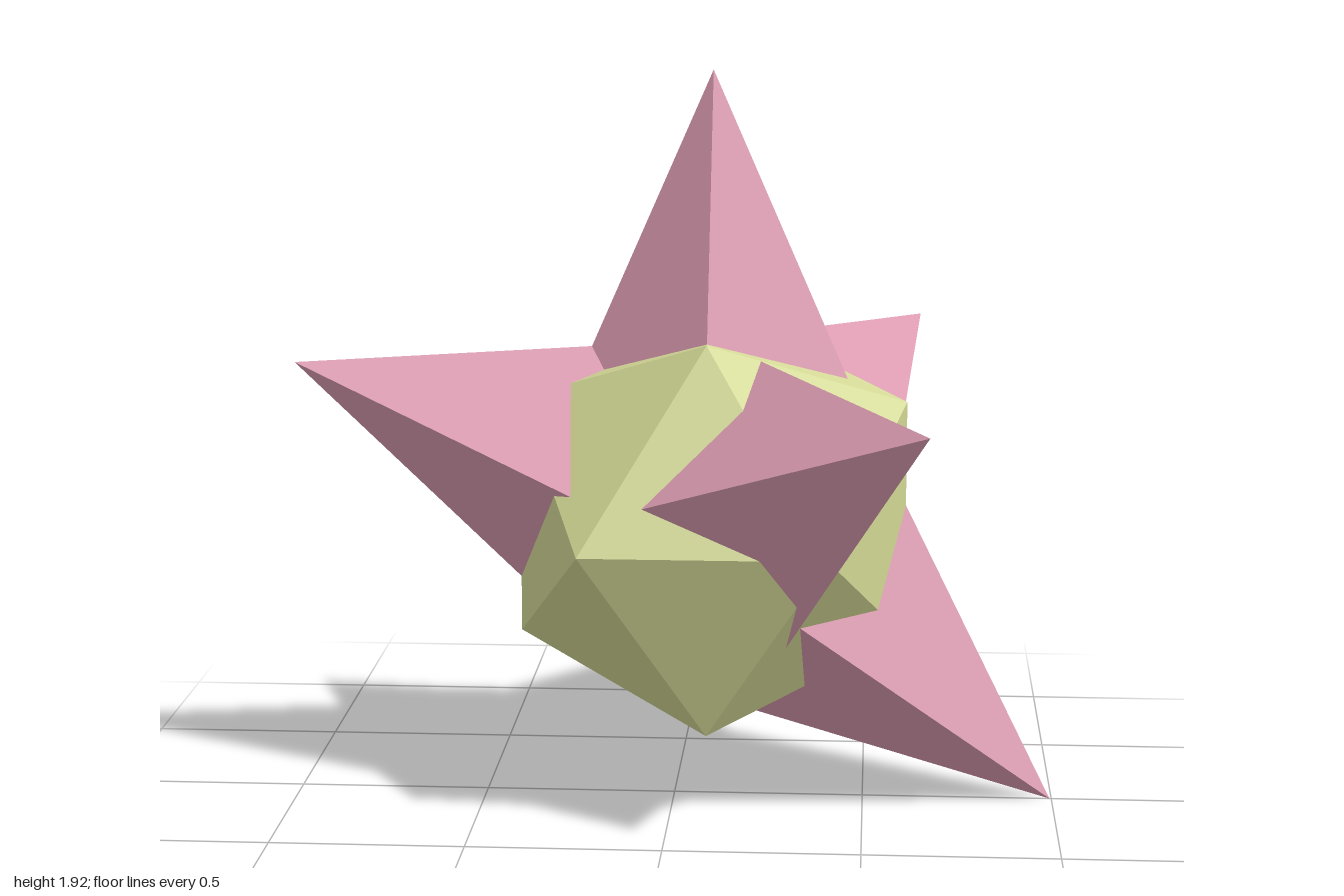
import * as THREE from 'three';

export function createModel() {
  const group = new THREE.Group();
  const green = new THREE.MeshStandardMaterial({ color: 0xd4d996, flatShading: true });
  green.name = 'pale green';
  const pink = new THREE.MeshStandardMaterial({ color: 0xdc9cb2, flatShading: true });
  pink.name = 'dusty pink';

  const centre = new THREE.Vector3(0.1, 0.756, 0);

  // Faceted core
  const core = new THREE.Mesh(new THREE.IcosahedronGeometry(0.594, 0).rotateY(Math.PI / 2), green);
  core.name = 'core';
  core.position.copy(centre);
  group.add(core);

  // Four-sided spikes, their bases buried in the core
  const tip = 1.169, base = 0.25, slope = 0.439;
  const length = tip - base;
  function addSpike(name, elevation, azimuth) {
    const geometry = new THREE.ConeGeometry(length * slope, length, 4)
      .translate(0, base + length / 2, 0)
      .rotateZ(THREE.MathUtils.degToRad(elevation - 90))
      .rotateY(THREE.MathUtils.degToRad(azimuth));
    const spike = new THREE.Mesh(geometry, pink);
    spike.name = name;
    spike.position.copy(centre);
    group.add(spike);
  }
  addSpike('topSpike', 90, 0);
  addSpike('rightSpike', 20, 180);
  addSpike('frontSpike', 20, -60);
  addSpike('backSpike', 20, 60);
  addSpike('lowerSpike', -40, 0);

  return group;
}
